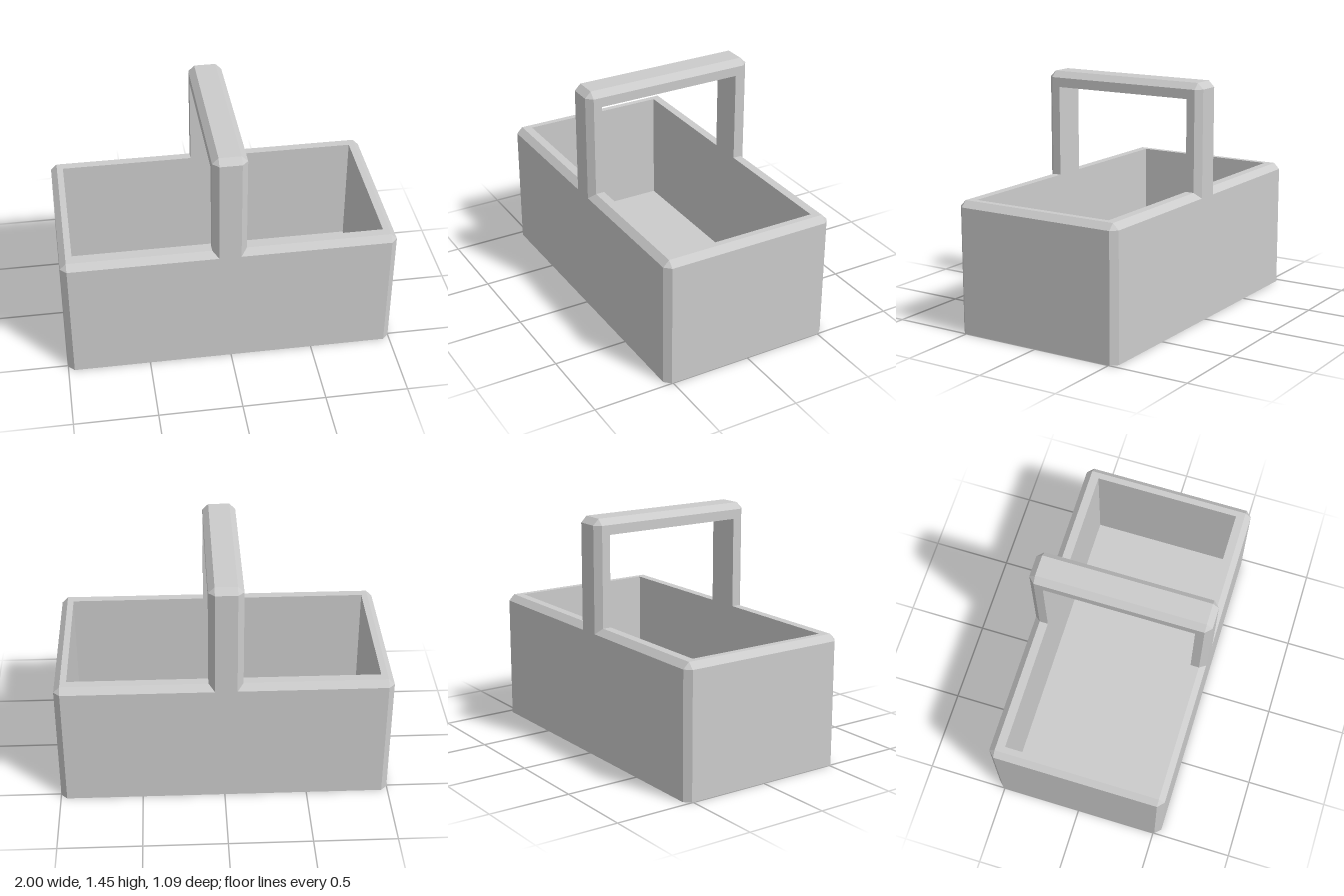
import * as THREE from 'three';

const material = new THREE.MeshStandardMaterial({ color: 0xcccccc, flatShading: true });

// Skin a series of equal-length point rings with flat quads
function loft(name, rings) {
  const pos = [];
  for (let i = 0; i < rings.length - 1; i++) {
    const lo = rings[i], hi = rings[i + 1], n = lo.length;
    for (let j = 0; j < n; j++) {
      const k = (j + 1) % n;
      const quad = [[lo[j], lo[k], hi[k]], [lo[j], hi[k], hi[j]]];
      for (const [a, b, c] of quad) {
        const t = new THREE.Triangle(...[a, b, c].map(p => new THREE.Vector3(...p)));
        if (t.getArea() > 1e-7) pos.push(...a, ...b, ...c); // skip collapsed halves
      }
    }
  }
  const geometry = new THREE.BufferGeometry();
  geometry.setAttribute('position', new THREE.Float32BufferAttribute(pos, 3));
  geometry.computeVertexNormals();
  const mesh = new THREE.Mesh(geometry, material);
  mesh.name = name;
  return mesh;
}

// Rectangle at height y with corners cut by c
function rectRing(x, z, y, c = 0) {
  return [
    [x - c, y, z], [x, y, z - c], [x, y, c - z], [x - c, y, -z],
    [c - x, y, -z], [-x, y, c - z], [-x, y, z - c], [c - x, y, z],
  ];
}

export function createModel() {
  const group = new THREE.Group();
  group.name = 'basket';
  const bevel = 0.037, W = 1, D = 0.545, H = 0.8, top = 1.45;
  const innerW = 0.925, innerD = 0.455, floor = 0.09;

  // Open box: underside, walls, bevelled rim, cavity and floor
  group.add(loft('basketBody', [
    rectRing(0, 0, 0),
    rectRing(W, D, 0, bevel),
    rectRing(W, D, H - bevel, bevel),
    rectRing(W - bevel, D - bevel, H),
    rectRing(innerW, innerD, H),
    rectRing(innerW, innerD, floor),
    rectRing(0, 0, floor),
  ]));

  // Handle: six-sided section with two bevelled outer edges, swept over an arch
  const x0 = -0.11, x1 = 0.095;
  const section = ([innerZ, innerY], [sideZ, sideY], [outerZ, outerY]) => [
    [x0 + bevel, outerY, outerZ], [x1 - bevel, outerY, outerZ],
    [x1, sideY, sideZ], [x1, innerY, innerZ],
    [x0, innerY, innerZ], [x0, sideY, sideZ],
  ];
  const under = top - 0.095, s = D - bevel;
  const front = [
    [[innerD, H], [s, H], [D, H - bevel]],
    [[innerD, under], [s, top - bevel], [D, top - bevel]],
    [[innerD, under], [s, top - bevel], [s, top]],
  ];
  const back = front.map(st => st.map(([z, y]) => [-z, y])).reverse();
  group.add(loft('handle', [...front, ...back].map(st => section(...st))));

  return group;
}
